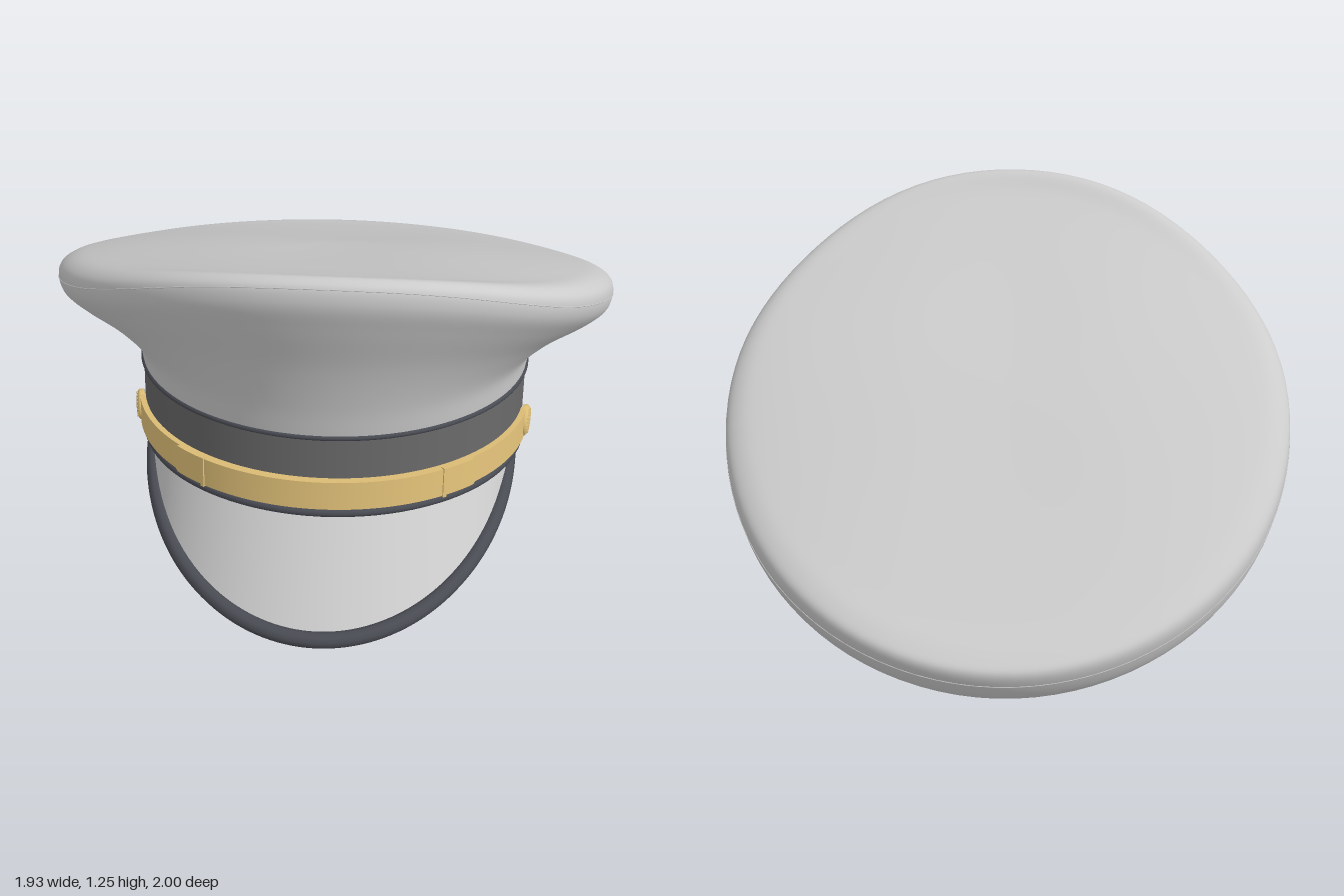
import * as THREE from 'three';
import { mergeVertices } from 'three/addons/utils/BufferGeometryUtils.js';

const TILT = 0.23, R = 0.685;
const mat = (color) => new THREE.MeshStandardMaterial({ color, side: THREE.DoubleSide });
const light = mat(0xcccccc), cloth = mat(0x666666), trim = mat(0x4a4c54), under = mat(0x47474c), gold = mat(0xe0c078);

function add(parent, name, geometry, material) {
  const mesh = new THREE.Mesh(geometry, material);
  mesh.name = name;
  parent.add(mesh);
  return mesh;
}

// Smooth surface from a function of u, v in 0..1
function surface(fn, nu, nv) {
  const pos = [], idx = [];
  for (let j = 0; j <= nv; j++)
    for (let i = 0; i <= nu; i++) pos.push(...fn(i / nu, j / nv).toArray());
  for (let j = 0; j < nv; j++)
    for (let i = 0; i < nu; i++) {
      const a = j * (nu + 1) + i, d = a + nu + 1;
      idx.push(a, a + 1, d, a + 1, d + 1, d);
    }
  let g = new THREE.BufferGeometry();
  g.setAttribute('position', new THREE.Float32BufferAttribute(pos, 3));
  g.setIndex(idx);
  g = mergeVertices(g, 1e-4);
  g.computeVertexNormals();
  return g;
}

// Crown rings: front z, y | side x, z, y | back z, y | dip between front and side
const RINGS = [
  [0.634, 0.598, 0.685, -0.035, 0.443, -0.702, 0.288, 0],
  [0.638, 0.72, 0.705, -0.045, 0.515, -0.725, 0.243, 0],
  [0.66, 0.9, 0.79, -0.06, 0.56, -0.78, 0.183, 0.02],
  [0.70, 1.08, 0.895, -0.075, 0.595, -0.85, 0.155, 0.04],
  [0.717, 1.185, 0.95, -0.085, 0.642, -0.935, 0.185, 0.05],
  [0.703, 1.24, 0.965, -0.095, 0.705, -0.99, 0.29, 0.06],
  [0.687, 1.253, 0.955, -0.1, 0.755, -0.996, 0.35, 0.055],
  [0.66, 1.256, 0.91, -0.105, 0.79, -0.96, 0.38, 0.045],
  [0.59, 1.205, 0.81, -0.11, 0.812, -0.85, 0.433, 0.03],
  [0.27, 1.035, 0.45, -0.13, 0.835, -0.55, 0.595, 0],
  [-0.14, 0.835, 0, -0.14, 0.835, -0.14, 0.835, 0],
];

// Blend front, side and back values around the head
function blend(f, s, b, a) {
  const mean = (f + b) / 2;
  return (mean + s) / 2 + (f - b) / 2 * Math.cos(a) + (mean - s) / 2 * Math.cos(2 * a);
}
function ringPoint([fz, fy, sx, sz, sy, bz, by, dip], a) {
  const drop = dip * (Math.sin(2 * a) * Math.sin(a)) ** 2 * (1 + Math.cos(a)) / 2;
  return new THREE.Vector3(sx * Math.sin(a), blend(fy, sy, by, a) - drop, blend(fz, sz, bz, a));
}
const profile = (a, rings) =>
  new THREE.CatmullRomCurve3(rings.map((r) => ringPoint(r, a)), false, 'centripetal');

function crownGeometry() {
  const n = 96;
  const curves = [];
  for (let i = 0; i < n; i++) curves.push(profile(i / n * Math.PI * 2, RINGS));
  return surface((u, v) => curves[Math.round(u * n) % n].getPoint(v), n, 60);
}

// Strip of strap bent round the band; tip = length of its pointed ends
function bentStrip(half, height, radius, thick, tip = 0) {
  const g = new THREE.BoxGeometry(2 * half, height, thick, 96, 1, 1);
  const p = g.attributes.position;
  for (let i = 0; i < p.count; i++) {
    const a = p.getX(i), r = radius + p.getZ(i);
    const taper = tip ? Math.min(1, (half - Math.abs(a)) / tip) : 1;
    p.setXYZ(i, r * Math.sin(a), p.getY(i) * taper, r * Math.cos(a));
  }
  g.computeVertexNormals();
  return g;
}

function ring(parent, name, radius, tube, y, material) {
  const m = add(parent, name, new THREE.TorusGeometry(radius, tube, 10, 96), material);
  m.rotation.x = Math.PI / 2;
  m.position.y = y;
}

// Open wall of the band between two heights
const wall = (radius, y0, y1) =>
  new THREE.LatheGeometry([new THREE.Vector2(radius, y0), new THREE.Vector2(radius, y1)], 96);

// Visor curves: outer rim and the joint with the band
function visorRim(t) {
  const z = 0.15 + 0.823 * Math.cos(t);
  return new THREE.Vector3(0.635 * Math.sin(t), 0.03 + (0.973 - z) * 0.207, z);
}
function visorJoint(t) {
  const a = t * 1.39 / (Math.PI / 2);
  return new THREE.Vector3(0.67 * Math.sin(a), 0.175 + 0.67 * 0.228 * Math.cos(a), 0.03 + 0.67 * 0.974 * Math.cos(a));
}
function visorPoint(u, v, drop) {
  const t = (u - 0.5) * Math.PI;
  const p = visorRim(t).lerp(visorJoint(t), v);
  p.y -= drop;
  return p;
}

export function createModel() {
  const model = new THREE.Group();
  model.name = 'peakedCap';

  // Crown with its rim seam and side seams
  add(model, 'crown', crownGeometry(), light);
  const seam = Array.from({ length: 64 }, (_, i) => ringPoint(RINGS[5], i / 64 * Math.PI * 2));
  add(model, 'crownSeam', new THREE.TubeGeometry(new THREE.CatmullRomCurve3(seam, true), 128, 0.002, 5, true), light);
  for (const s of [-1, 1])
    add(model, s > 0 ? 'leftSeam' : 'rightSeam',
      new THREE.TubeGeometry(profile(s * Math.PI / 2, RINGS.slice(0, 6)), 24, 0.002, 5), light);

  // Visor: top, underside and edge trim
  add(model, 'visorTop', surface((u, v) => visorPoint(u, v, 0), 64, 8), light);
  add(model, 'visorUnderside', surface((u, v) => visorPoint(u, 1 - v, 0.015), 64, 8), under);
  const rim = Array.from({ length: 41 }, (_, i) => visorRim((i / 40 - 0.5) * Math.PI));
  add(model, 'visorTrim', new THREE.TubeGeometry(new THREE.CatmullRomCurve3(rim), 96, 0.027, 10), trim);

  // Tilted headband and everything fixed to it
  const band = new THREE.Group();
  band.name = 'headband';
  band.position.set(0, 0.165, 0.03);
  band.rotation.x = -TILT;
  model.add(band);

  add(band, 'bandOuter', wall(R, 0, 0.29), cloth);
  add(band, 'sweatband', wall(0.665, 0, 0.2), cloth);
  add(band, 'bandLining', wall(0.667, 0.2, 0.29), light);
  ring(band, 'bottomPiping', 0.68, 0.015, 0.008, trim);
  ring(band, 'topPiping', R, 0.01, 0.288, trim);

  // Chin strap
  const strap = new THREE.Group();
  strap.name = 'chinStrap';
  strap.position.y = 0.09;
  band.add(strap);
  add(strap, 'strap', bentStrip(1.38, 0.1, 0.695, 0.02), gold);
  add(strap, 'strapOverlap', bentStrip(0.86, 0.1, 0.709, 0.012, 0.09), gold);
  for (const s of [-1, 1]) {
    const side = s > 0 ? 'left' : 'right';
    const loop = add(strap, side + 'StrapLoop', bentStrip(0.01, 0.108, 0.711, 0.018), gold);
    loop.rotation.y = s * 0.595;

    // Domed button with a beaded ring
    const button = new THREE.Group();
    button.name = side + 'Button';
    const a = s * 1.385;
    button.position.set(0.69 * Math.sin(a), 0, 0.69 * Math.cos(a));
    button.rotation.y = a;
    const dome = [[0.054, 0], [0.056, 0.015], [0.05, 0.022], [0.03, 0.028], [0, 0.03]];
    add(button, 'buttonDome', new THREE.LatheGeometry(dome.map(([x, y]) => new THREE.Vector2(x, y)), 32), gold).rotation.x = Math.PI / 2;
    for (let i = 0; i < 20; i++) {
      const b = i / 20 * Math.PI * 2;
      add(button, 'bead', new THREE.SphereGeometry(0.004, 6, 4), gold).position.set(0.043 * Math.cos(b), 0.043 * Math.sin(b), 0.024);
    }
    strap.add(button);
  }
  return model;
}
